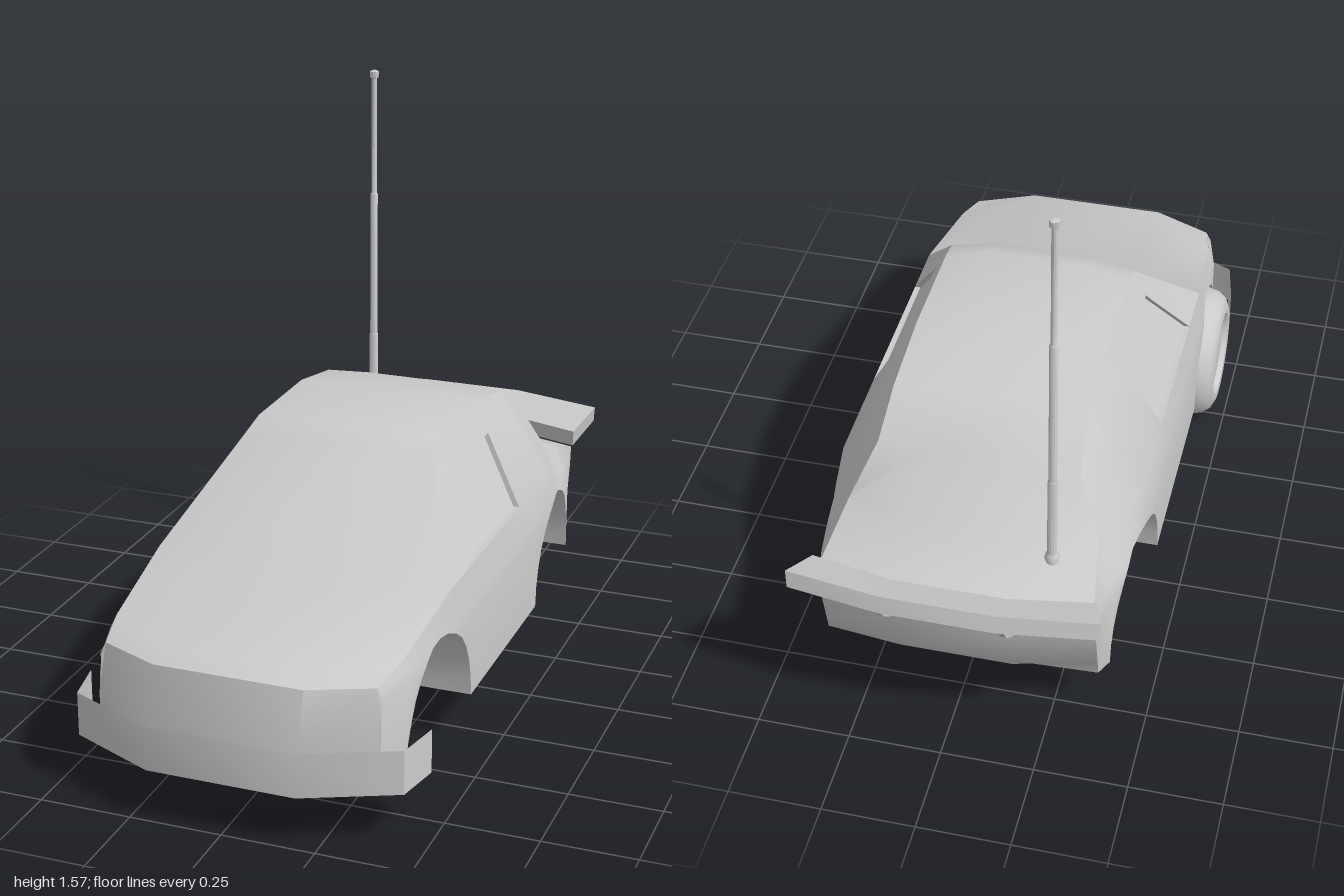
import * as THREE from 'three';
import { toCreasedNormals } from 'three/addons/utils/BufferGeometryUtils.js';

const grey = new THREE.MeshStandardMaterial({ color: 0xcccccc, side: THREE.DoubleSide });
const FLOOR = 0.152, WELL_X = 0.23, BELT = 0.5, WAIST = 0.38;
const { lerp, clamp } = THREE.MathUtils;

function addMesh(parent, name, geometry) {
  const mesh = new THREE.Mesh(geometry, grey);
  mesh.name = name;
  parent.add(mesh);
  return mesh;
}

// Skin over rows of points, skipping collapsed triangles
function skin(rows) {
  const pos = [];
  const tri = (a, b, c) => {
    const [A, B, C] = [a, b, c].map((p) => new THREE.Vector3(...p));
    if (B.sub(A).cross(C.sub(A)).length() > 1e-7) pos.push(...a, ...b, ...c);
  };
  for (let i = 0; i + 1 < rows.length; i++) {
    for (let j = 0; j + 1 < rows[i].length; j++) {
      tri(rows[i][j], rows[i + 1][j], rows[i][j + 1]);
      tri(rows[i + 1][j], rows[i + 1][j + 1], rows[i][j + 1]);
    }
  }
  const geo = new THREE.BufferGeometry();
  geo.setAttribute('position', new THREE.Float32BufferAttribute(pos, 3));
  return toCreasedNormals(geo, 0.7);
}

const mirrorRows = (rows) => rows.map((r) => r.map(([x, y, z]) => [-x, y, z])).reverse();

// Piecewise linear lookup in a table sorted by falling z
function look(table, z, col = 1) {
  if (z >= table[0][0]) return table[0][col];
  for (let i = 1; i < table.length; i++) {
    const a = table[i - 1], b = table[i];
    if (z >= b[0]) return lerp(b[col], a[col], (z - b[0]) / (a[0] - b[0]));
  }
  return table[table.length - 1][col];
}

// Shoulder edge: z, x, y
const shoulder = [
  [0.89, 0.365, 0.41], [0.76, 0.388, 0.435], [0.45, 0.41, 0.5], [0.185, 0.265, 0.755], [0.11, 0.262, 0.775],
  [-0.2, 0.262, 0.775], [-0.42, 0.265, 0.735], [-0.56, 0.27, 0.66], [-0.63, 0.335, 0.51], [-0.835, 0.368, 0.43],
];
// Middle of the top skin beside each shoulder point: z, x, y
const crown = [
  [0.942, 0.2, 0.41], [0.9, 0.2, 0.437], [0.46, 0.22, 0.51], [0.21, 0.14, 0.765], [0.14, 0.14, 0.787],
  [-0.2, 0.14, 0.787], [-0.42, 0.14, 0.742], [-0.575, 0.14, 0.668], [-0.7, 0.16, 0.51], [-0.88, 0.15, 0.44],
];
const waist = [[0.89, 0.378], [0.75, 0.41], [0.43, 0.432], [-0.47, 0.432], [-0.72, 0.392], [-0.835, 0.37]];
const belt = [[0.45, 0.41], [-0.45, 0.41], [-0.63, 0.34]];
const arches = [{ z: 0.5525, r: 0.2175 }, { z: -0.49, r: 0.23 }];
const winLow = [[0.29, BELT], [-0.145, BELT], [-0.18, 0.695]];
const winHigh = [[0.29, BELT], [0.16, 0.695], [-0.18, 0.695]];

// Lower edge of the body side, raised over the wheels
function sill(z) {
  for (const a of arches) {
    const u = (z - a.z) / a.r;
    if (Math.abs(u) < 1) return FLOOR + 0.258 * Math.sqrt(1 - u * u);
  }
  return FLOOR;
}

// Point on the body side, with both ends raked
function sidePoint(z, y, inset = 0) {
  const sx = look(shoulder, z, 1), sy = look(shoulder, z, 2), w = look(waist, z);
  let x = w;
  if (y > WAIST) {
    if (sy <= BELT) x = lerp(w, sx, (y - WAIST) / (sy - WAIST));
    else if (y <= BELT) x = lerp(w, look(belt, z), (y - WAIST) / (BELT - WAIST));
    else x = lerp(look(belt, z), sx, (y - BELT) / (sy - BELT));
  }
  if (z > 0.77) z = 0.77 + (z - 0.77) * lerp(1, 0.833, clamp((y - 0.28) / 0.13, 0, 1));
  if (z < -0.72) z = -0.72 + (z + 0.72) * lerp(0.39, 1, clamp((y - FLOOR) / 0.278, 0, 1));
  return [x - inset, y, z];
}

function archZs(a, n = 14) {
  return Array.from({ length: n + 1 }, (_, i) => a.z + a.r * Math.cos((Math.PI * i) / n));
}

function buildBody(car) {
  const body = new THREE.Group();
  body.name = 'body';
  car.add(body);

  // Nose, bonnet, windscreen, roof, rear window, boot and tail in one skin
  const across = (s, c) => [s, c, [-c[0], c[1], c[2]], [-s[0], s[1], s[2]]];
  const rows = [
    across([0.378, FLOOR, 0.89], [0.2, FLOOR, 0.975]),
    across([0.378, 0.28, 0.89], [0.2, 0.28, 0.975]),
    ...shoulder.map(([z, , y], i) => across(sidePoint(z, y), [crown[i][1], crown[i][2], crown[i][0]])),
    across(sidePoint(-0.835, 0.32), [0.15, 0.33, -0.865]),
    across(sidePoint(-0.835, 0.2), [0.15, 0.2, -0.83]),
    across(sidePoint(-0.835, FLOOR), [0.15, FLOOR, -0.775]),
  ];
  addMesh(body, 'upperBody', skin(rows));

  // Sides with wheel arches and sunken windows
  const zs = [...shoulder.map((p) => p[0]), ...arches.flatMap((a) => archZs(a)), 0.29, 0.16, -0.145, -0.18]
    .sort((a, b) => b - a);
  const lower = [], upper = [];
  for (const z of zs) {
    const b = sill(z), top = look(shoulder, z, 2);
    const low = Math.min(look(winLow, z), top), high = Math.min(look(winHigh, z), top);
    lower.push([b, clamp(WAIST, b, top), 0.41, BELT, low].map((y) => sidePoint(z, clamp(y, b, Math.max(low, b)))));
    upper.push([high, top].map((y) => sidePoint(z, y)));
  }
  const winZs = zs.filter((z) => z <= 0.29 && z >= -0.18);
  const pane = winZs.map((z) => [look(winLow, z), look(winHigh, z)].map((y) => sidePoint(z, y, 0.016)));
  const corners = [[0.29, BELT], [0.185, look(winHigh, 0.185)], [0.16, 0.695], [0.11, 0.695], [-0.18, 0.695],
    [-0.145, BELT], [0.11, BELT], [0.185, BELT], [0.29, BELT]];
  const rim = corners.map(([z, y]) => [sidePoint(z, y, 0.016), sidePoint(z, y)]);

  for (const [side, fix] of [['left', (r) => r], ['right', mirrorRows]]) {
    addMesh(body, side + 'LowerSide', skin(fix(lower)));
    addMesh(body, side + 'UpperSide', skin(fix(upper)));
    addMesh(body, side + 'Window', skin(fix(pane)));
    addMesh(body, side + 'WindowRim', skin(fix(rim)));
    arches.forEach((a, k) => {
      const name = side + (k ? 'Rear' : 'Front') + 'Well';
      const az = archZs(a);
      const roof = az.map((z) => [[WELL_X, sill(z), z], sidePoint(z, sill(z))]);
      const wall = az.map((z) => [[WELL_X, FLOOR, z], [WELL_X, sill(z), z]]);
      addMesh(body, name + 'Roof', skin(fix(roof)));
      addMesh(body, name + 'Wall', skin(fix(wall)));
    });
  }

  // Underside, notched for the wheels
  const half = [[0.2, 0.975], [0.378, 0.89]];
  for (const a of arches) {
    const f = a.z + a.r, r = a.z - a.r;
    half.push([look(waist, f), f], [WELL_X, f], [WELL_X, r], [look(waist, r), r]);
  }
  half.push([0.37, -0.765], [0.15, -0.775]);
  const outline = [...half, ...half.map(([x, z]) => [-x, z]).reverse()];
  const floor = new THREE.ShapeGeometry(new THREE.Shape(outline.map((p) => new THREE.Vector2(...p))));
  addMesh(body, 'underside', floor.rotateX(Math.PI / 2).translate(0, FLOOR, 0));
}

function buildSpoiler(car) {
  const spoiler = new THREE.Group();
  spoiler.name = 'spoiler';
  car.add(spoiler);
  const tip = [[0.375, 0.48, -0.832], [0.37, 0.43, -0.845], [0.405, 0.478, -0.955], [0.41, 0.525, -0.945]];
  const mid = [[0.15, 0.49, -0.88], [0.15, 0.44, -0.892], [0.15, 0.488, -1.0], [0.15, 0.535, -0.988]];
  const flip = (s) => s.map(([x, y, z]) => [-x, y, z]);
  const sections = [tip, mid, flip(mid), flip(tip)].map((s) => [...s, s[0]]);
  addMesh(spoiler, 'wing', skin(sections));
  const cap = [[tip[0], tip[3]], [tip[1], tip[2]]];
  addMesh(spoiler, 'leftWingEnd', skin(cap));
  addMesh(spoiler, 'rightWingEnd', skin(mirrorRows(cap)));

  // Thin brackets under the wing, drawn as (-z, y)
  const bracket = new THREE.Shape([[0.855, 0.345], [0.9, 0.375], [0.95, 0.425], [0.99, 0.487], [0.87, 0.45]]
    .map((p) => new THREE.Vector2(...p)));
  for (const x of [-0.16, 0.16]) {
    const geo = new THREE.ExtrudeGeometry(bracket, { depth: 0.016, bevelEnabled: false });
    addMesh(spoiler, 'bracket', geo.translate(0, 0, -0.008).rotateY(Math.PI / 2).translate(x, 0, 0));
  }
}

function buildWheel(car) {
  // Radius and distance along the axle, from the inner hub hole to the outer rim
  const profile = [[0, -0.07], [0.062, -0.07], [0.062, -0.097], [0.185, -0.097], [0.195, -0.09], [0.195, 0.035],
    [0.188, 0.062], [0.17, 0.085], [0.145, 0.097], [0.125, 0.095], [0.115, 0.08], [0, 0.08]];
  const geo = new THREE.LatheGeometry(profile.map((p) => new THREE.Vector2(...p)), 32);
  const wheel = addMesh(car, 'frontRightWheel', toCreasedNormals(geo, 0.7));
  wheel.rotation.z = Math.PI / 2;
  wheel.position.set(-0.378, 0.198, 0.556);
}

function buildAntenna(car) {
  const profile = [[0, 0.47], [0.019, 0.47], [0.019, 0.505], [0.013, 0.515], [0.013, 0.76], [0.011, 0.765],
    [0.011, 1.2], [0.008, 1.205], [0.008, 1.55], [0.013, 1.552], [0.013, 1.57], [0, 1.575]];
  const geo = new THREE.LatheGeometry(profile.map((p) => new THREE.Vector2(...p)), 10);
  addMesh(car, 'antenna', toCreasedNormals(geo, 0.7)).position.set(-0.232, 0, -0.715);
}

export function createModel() {
  const car = new THREE.Group();
  car.name = 'toyCar';
  buildBody(car);
  buildSpoiler(car);
  buildWheel(car);
  buildAntenna(car);

  // Wraparound front bumper strip
  const halfPath = [[0.468, 0.76], [0.442, 0.89], [0.2, 1.0]];
  const path = [...halfPath, ...halfPath.map(([x, z]) => [-x, z]).reverse()];
  addMesh(car, 'frontBumper', skin(path.map(([x, z]) => [[x, 0.265, z], [x, 0.145, z]])));
  return car;
}
